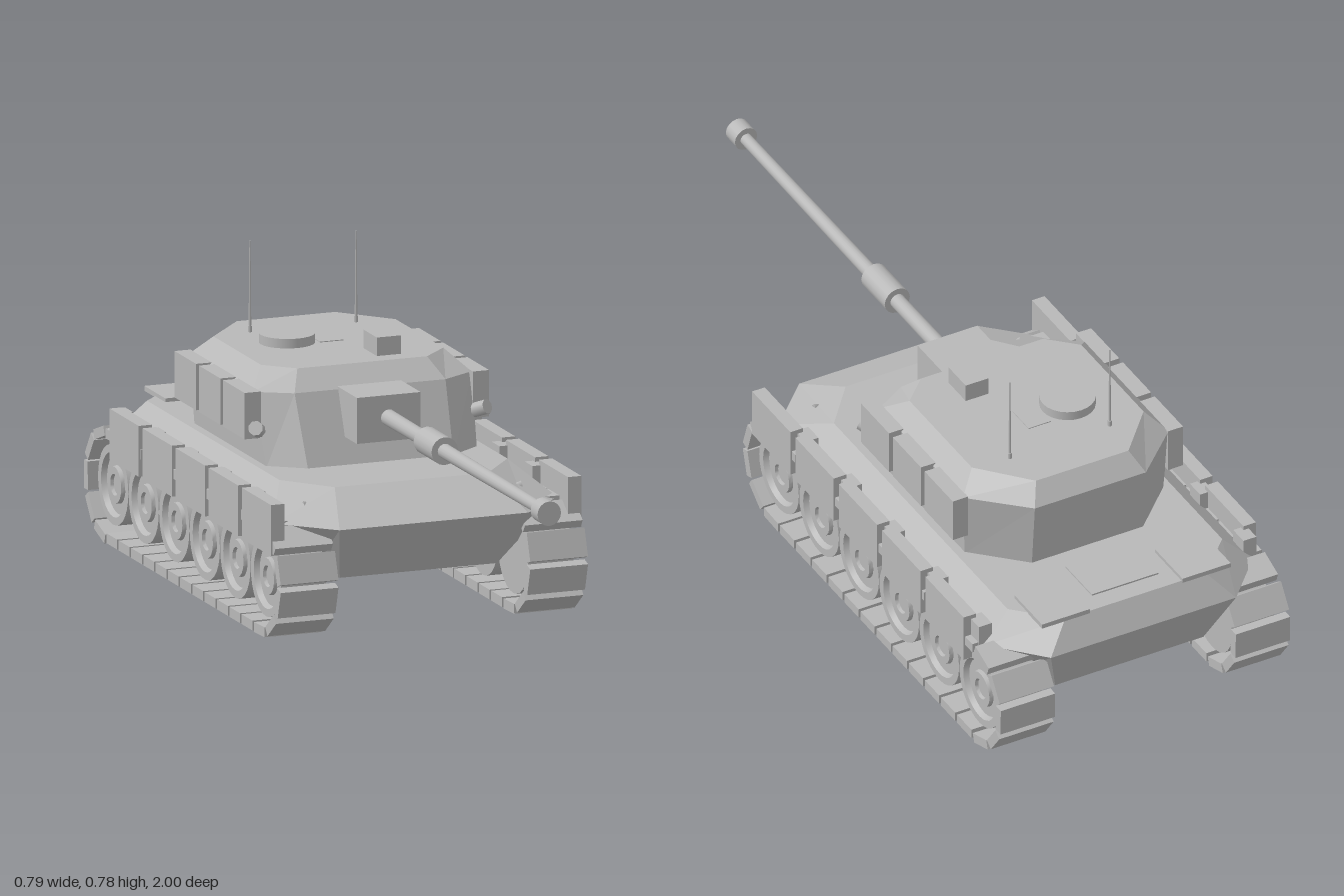
import * as THREE from 'three';
import { toCreasedNormals } from 'three/addons/utils/BufferGeometryUtils.js';

const grey = new THREE.MeshStandardMaterial({ color: 0xb8b8b8 });
grey.name = 'plain grey';

// Flat-faced loft through octagonal levels:
// [y, front half-width, front z, side half-width, side front z, side rear z, rear half-width, rear z]
function octagonLoft(levels) {
  const rings = levels.map(([y, xf, zf, xs, zsf, zsr, xr, zr]) => {
    const half = [[xf, zf], [xs, zsf], [xs, zsr], [xr, zr]];
    const other = half.slice().reverse().map(([x, z]) => [-x, z]);
    return [...half, ...other].map(([x, z]) => [x, y, z]);
  });
  const pos = [];
  const tri = (...pts) => pts.forEach((p) => pos.push(...p));
  for (let k = 0; k + 1 < rings.length; k++) {
    for (let i = 0; i < 8; i++) {
      const j = (i + 1) % 8, lo = rings[k], hi = rings[k + 1];
      tri(lo[i], lo[j], hi[j]);
      tri(lo[i], hi[j], hi[i]);
    }
  }
  const top = rings[rings.length - 1], bottom = rings[0];
  for (let i = 1; i < 7; i++) {
    tri(top[0], top[i], top[i + 1]);
    tri(bottom[0], bottom[i + 1], bottom[i]);
  }
  const g = new THREE.BufferGeometry();
  g.setAttribute('position', new THREE.Float32BufferAttribute(pos, 3));
  g.computeVertexNormals();
  return g;
}

export function createModel() {
  const model = new THREE.Group();
  model.name = 'tank';

  const add = (name, geometry, x = 0, y = 0, z = 0, parent = model) => {
    const mesh = new THREE.Mesh(geometry, grey);
    mesh.name = name;
    mesh.position.set(x, y, z);
    parent.add(mesh);
    return mesh;
  };
  // Box given by its limits
  const box = (name, x0, x1, y0, y1, z0, z1) =>
    add(name, new THREE.BoxGeometry(x1 - x0, y1 - y0, z1 - z0), (x0 + x1) / 2, (y0 + y1) / 2, (z0 + z1) / 2);

  // Hull: floor, widest line, deck
  add('hull', octagonLoft([
    [0.13, 0.2, 0.16, 0.243, 0.08, -0.82, 0.2, -0.92],
    [0.272, 0.24, 0.26, 0.362, 0.14, -0.87, 0.25, -0.99],
    [0.34, 0.195, 0.115, 0.29, 0.0, -0.85, 0.19, -0.95],
  ]));

  // Turret: base, shoulder, roof
  add('turret', octagonLoft([
    [0.335, 0.185, -0.08, 0.268, -0.14, -0.6, 0.15, -0.715],
    [0.508, 0.192, -0.15, 0.278, -0.2, -0.61, 0.15, -0.73],
    [0.555, 0.165, -0.2, 0.232, -0.265, -0.57, 0.125, -0.69],
  ]));

  // Gun
  box('mantlet', -0.081, 0.081, 0.402, 0.514, -0.2, -0.03);
  const gunPart = (name, rFront, rBack, z0, z1) => {
    const g = new THREE.CylinderGeometry(rFront, rBack, z1 - z0, 16);
    g.rotateX(Math.PI / 2);
    add(name, g, 0, 0.459, (z0 + z1) / 2);
  };
  gunPart('barrel', 0.015, 0.02, -0.04, 0.97);
  gunPart('barrelSleeve', 0.034, 0.034, 0.215, 0.33);
  gunPart('muzzle', 0.03, 0.03, 0.955, 1.0);

  // Roof fittings
  add('cupola', new THREE.CylinderGeometry(0.067, 0.067, 0.03, 24), -0.09, 0.563, -0.455);
  box('sight', 0.055, 0.116, 0.55, 0.6, -0.33, -0.245);
  box('roofHatch', -0.02, 0.04, 0.553, 0.557, -0.5, -0.42);

  // Rear deck covers
  box('engineCover', -0.09, 0.09, 0.337, 0.344, -0.9, -0.77);
  for (const s of [-1, 1]) {
    const cover = box('sideCover', -0.065, 0.065, 0.337, 0.349, -0.955, -0.82);
    cover.position.x = s * 0.19;
  }

  // Wheel profile: rim, recessed dish and hub
  const wheelGeometry = toCreasedNormals(new THREE.LatheGeometry([
    [0, -0.06], [0.097, -0.06], [0.097, 0.055], [0.078, 0.055], [0.072, 0.042],
    [0.046, 0.042], [0.044, 0.052], [0.026, 0.052], [0.024, 0.044], [0, 0.044],
  ].map(([r, h]) => new THREE.Vector2(r, h)), 28), 0.5);

  // Track path: straight runs joined by half circles around the end wheels
  const zFront = 0.12, zRear = -0.86, axle = 0.14, radius = 0.127;
  const run = zFront - zRear, arc = Math.PI * radius, links = 35;
  const pitch = 2 * (run + arc) / links;
  const linkGeometry = new THREE.BoxGeometry(0.147, 0.024, pitch * 0.88);
  const linkPose = (d) => {
    if (d < run) return [axle - radius, zRear + d, 0];
    if (d < run + arc) {
      const a = (d - run) / radius;
      return [axle - radius * Math.cos(a), zFront + radius * Math.sin(a), a];
    }
    if (d < 2 * run + arc) return [axle + radius, zFront - (d - run - arc), Math.PI];
    const a = Math.PI + (d - 2 * run - arc) / radius;
    return [axle - radius * Math.cos(a), zRear + radius * Math.sin(a), a];
  };

  for (const s of [-1, 1]) {
    const side = s > 0 ? 'left' : 'right';
    const sideBox = (name, x0, x1, ...rest) =>
      box(side + name, Math.min(s * x0, s * x1), Math.max(s * x0, s * x1), ...rest);

    // Running gear
    const track = new THREE.Group();
    track.name = side + 'Track';
    model.add(track);
    for (let i = 0; i < links; i++) {
      const [y, z, a] = linkPose((i + 0.5) * pitch);
      add('trackLink', linkGeometry, s * 0.3175, y, z, track).rotation.x = -a;
    }
    for (let i = 0; i < 6; i++) {
      const wheel = add('roadWheel', wheelGeometry, s * 0.317, axle, zFront - i * run / 5, track);
      wheel.rotation.z = -s * Math.PI / 2;
    }

    // Skirt plates with brackets in the gaps
    for (let i = 0; i < 5; i++) {
      const z = 0.21 - i * 0.212;
      sideBox('SkirtPlate', 0.361, 0.395, 0.212, 0.336, z - 0.187, z);
      sideBox('SkirtBracket', 0.34, 0.375, 0.272, 0.325, z - 0.225, z - 0.175);
    }

    // Turret side plates with brackets in the gaps
    for (let i = 0; i < 3; i++) {
      const z = -0.17 - i * 0.156;
      sideBox('TurretPlate', 0.27, 0.311, 0.402, 0.515, z - 0.138, z);
      if (i < 2) sideBox('TurretBracket', 0.26, 0.3, 0.415, 0.445, z - 0.16, z - 0.13);
    }

    // Grenade launcher on the turret cheek
    const launcher = add(side + 'Launcher', new THREE.CylinderGeometry(0.018, 0.018, 0.06, 8), s * 0.28, 0.424, -0.165);
    launcher.quaternion.setFromUnitVectors(
      new THREE.Vector3(0, 1, 0), new THREE.Vector3(s * 0.5, 0.35, 0.8).normalize());

    // Headlamp wedge on the sloping front plate
    const lamp = add(side + 'Lamp', new THREE.ConeGeometry(0.011, 0.03, 4), s * 0.262, 0.304, 0.12);
    lamp.rotation.z = s * Math.PI / 2;

    // Aerial
    add(side + 'AerialBase', new THREE.CylinderGeometry(0.005, 0.005, 0.02, 8), s * 0.135, 0.56, -0.58);
    add(side + 'Aerial', new THREE.CylinderGeometry(0.0015, 0.0035, 0.225, 6), s * 0.135, 0.664, -0.58);
  }

  return model;
}
